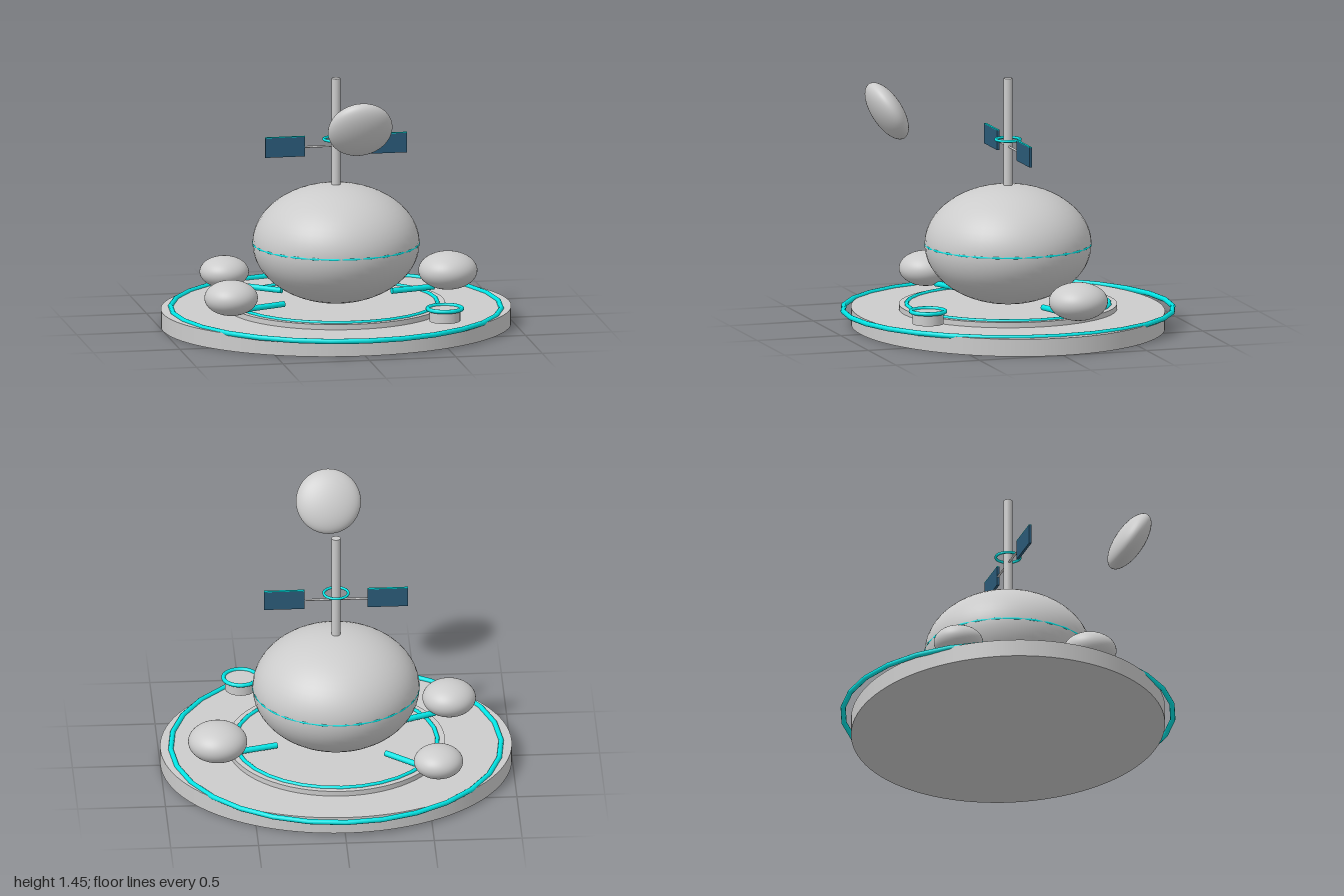
import * as THREE from 'three';

export function createModel() {
  const model = new THREE.Group();
  const grey = new THREE.MeshStandardMaterial({ color: 0xcccccc });
  const cyan = new THREE.MeshStandardMaterial({ color: 0x00e5e5 });
  const blue = new THREE.MeshStandardMaterial({ color: 0x2a5a78 });

  function add(name, geometry, material, x = 0, y = 0, z = 0) {
    const mesh = new THREE.Mesh(geometry, material);
    mesh.name = name;
    mesh.position.set(x, y, z);
    model.add(mesh);
    return mesh;
  }
  const disc = (r, h, sides = 64) => new THREE.CylinderGeometry(r, r, h, sides);
  const ball = (rx, ry, rz) => new THREE.SphereGeometry(1, 48, 32).scale(rx, ry, rz);
  const ring = (r, tube, sides) => new THREE.TorusGeometry(r, tube, 10, sides).rotateX(Math.PI / 2);

  // Oval base and raised platform, each with a glowing ring
  add('base', disc(1, 0.1, 96).scale(1, 1, 0.88), grey, 0, 0.05, 0);
  add('baseRing', ring(0.94, 0.015, 28), cyan, 0, 0.1, 0);
  add('platform', disc(0.62, 0.03), grey, 0, 0.115, 0);
  add('platformRing', ring(0.577, 0.012, 32), cyan, 0, 0.13, 0);

  // Main dome with a thin equator ring
  add('dome', ball(0.475, 0.34, 0.475), grey, 0, 0.475, 0);
  add('domeRing', ring(0.47, 0.008, 28), cyan, 0, 0.475, 0);

  // Side pods, each joined to the dome by a radial tube
  const pods = [
    [-0.555, 0.23, -0.475, 0.14, 0.09],
    [0.685, 0.247, -0.195, 0.168, 0.108],
    [-0.66, 0.238, 0.275, 0.152, 0.1],
  ];
  for (const [x, y, z, r, h] of pods) {
    add('pod', ball(r, h, r), grey, x, y, z);
    const reach = Math.hypot(x, z), inner = 0.355, outer = reach - 0.09;
    const mid = (inner + outer) / 2 / reach;
    const tube = add('podTube', disc(0.017, outer - inner, 12).rotateZ(Math.PI / 2), cyan, x * mid, 0.16, z * mid);
    tube.rotation.y = Math.atan2(-z, x);
  }

  // Small landing beacon
  add('beacon', disc(0.088, 0.07, 32), grey, 0.505, 0.17, 0.645);
  add('beaconRing', ring(0.098, 0.012, 28), cyan, 0.505, 0.207, 0.645);

  // Mast, its ring and the panel crossbar
  add('mast', disc(0.026, 0.63, 24), grey, 0, 1.115, 0);
  add('mastRing', ring(0.07, 0.008, 28), cyan, 0, 1.077, 0);
  add('crossbar', disc(0.006, 0.37, 10).rotateZ(Math.PI / 2), grey, 0, 1.038, 0);

  // Solar panels with a bright top edge
  for (const side of [-1, 1]) {
    add('solarPanel', new THREE.BoxGeometry(0.23, 0.113, 0.014), blue, side * 0.295, 1.041, 0);
    add('panelEdge', new THREE.BoxGeometry(0.23, 0.004, 0.014), cyan, side * 0.295, 1.0995, 0);
  }

  // Tilted dish hovering in front
  const dish = add('dish', ball(0.185, 0.185, 0.083), grey, 0, 1.282, 0.725);
  dish.rotation.x = Math.PI / 6;

  return model;
}
